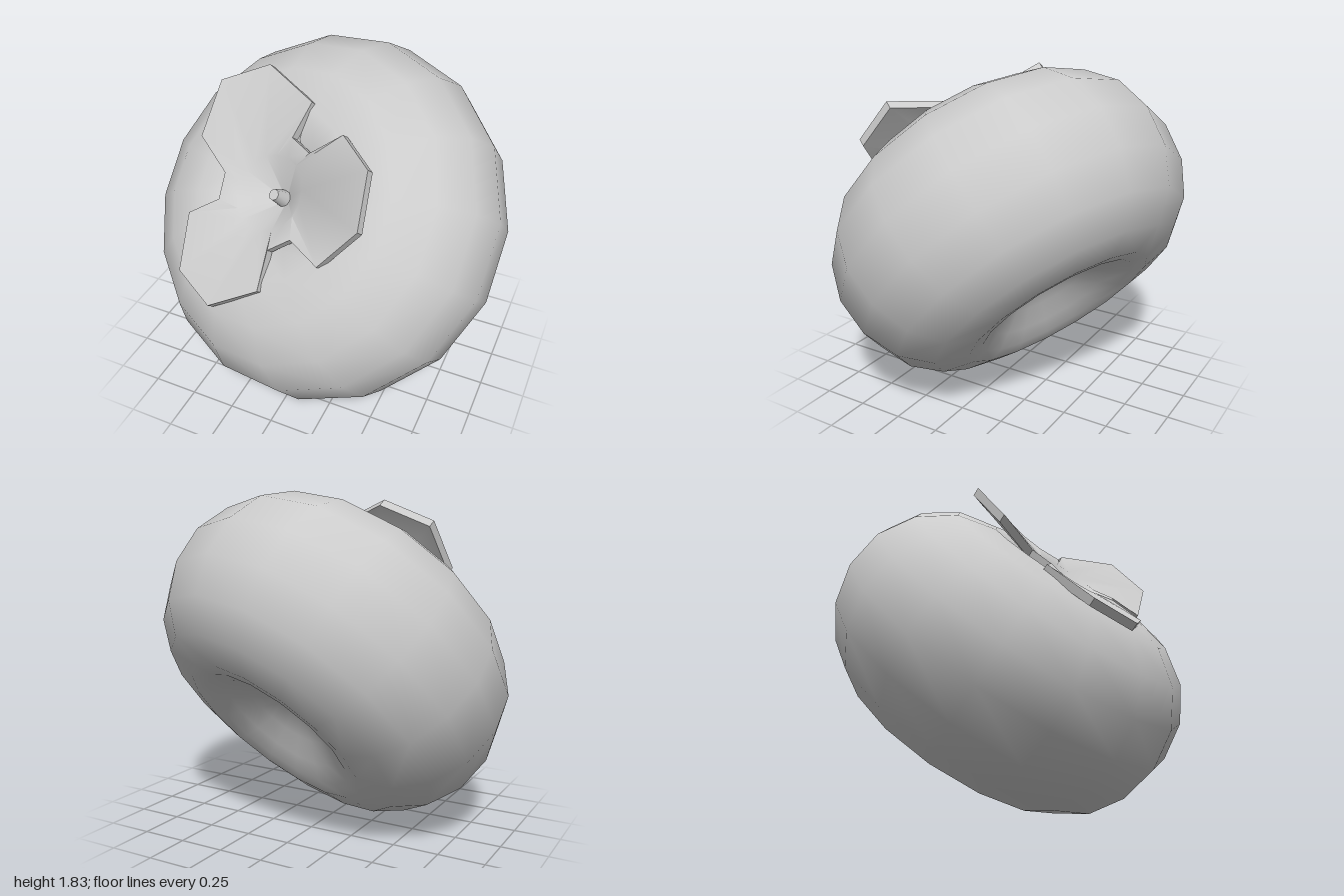
import * as THREE from 'three';
import { toCreasedNormals } from 'three/addons/utils/BufferGeometryUtils.js';

const material = new THREE.MeshStandardMaterial({ color: 0xcccccc });
const rad = THREE.MathUtils.degToRad;

function part(name, geometry) {
  const mesh = new THREE.Mesh(geometry, material);
  mesh.name = name;
  return mesh;
}

// Joins closed rings of points into a skin, each ring to the next
function loft(rings) {
  const positions = [];
  for (let s = 0; s < rings.length - 1; s++) {
    const a = rings[s], b = rings[s + 1], n = a.length;
    for (let i = 0; i < n; i++) {
      const j = (i + 1) % n;
      for (const p of [b[i], a[i], b[j], a[i], a[j], b[j]]) positions.push(p.x, p.y, p.z);
    }
  }
  const geometry = new THREE.BufferGeometry();
  geometry.setAttribute('position', new THREE.Float32BufferAttribute(positions, 3));
  return geometry;
}

// Half of the fruit's profile, from the middle of the dimple out to the equator
function halfProfile(dimple, crown, height) {
  const radius = 1.02;
  const points = dimple.map(([r, y]) => new THREE.Vector2(r, y));
  for (let i = 4; i >= 0; i--) {
    const t = rad(i * 22.5);
    points.push(new THREE.Vector2(crown + (radius - crown) * Math.cos(t), height * Math.sin(t)));
  }
  return points;
}

// Squashed round fruit: broad shallow dimple below, deeper one under the leaf
function createBody() {
  const bottom = halfProfile([[0, 0.37], [0.12, 0.385], [0.24, 0.435], [0.36, 0.505], [0.46, 0.553]], 0.55, 0.57);
  const top = halfProfile([[0, 0.31], [0.1, 0.34], [0.2, 0.44], [0.31, 0.52]], 0.46, 0.552);
  bottom.forEach(p => { p.y = -p.y; });
  const profile = [...bottom, ...top.reverse().slice(1)];
  return part('body', new THREE.LatheGeometry(profile, 16, rad(3)));
}

// Three-lobed leaf with a funnel in the middle; each lobe curls in its own way
function createLeaf() {
  const lobes = [
    { angle: 2, twist: 0, lift: [0, 0.01, 0.135, 0.11, -0.01, 0] },
    { angle: 121.5, twist: 1, lift: [0, 0, 0, 0, 0, 0] },
    { angle: 242, twist: 8, lift: [0, 0.075, 0.105, 0.065, 0, 0] },
  ];
  // angle from lobe centre, radius, angle on the funnel's rim
  const outline = [
    [-46.5, 0.3, -50], [-40, 0.5, -30], [-12.5, 0.65, -10],
    [12.5, 0.65, 10], [40, 0.5, 30], [46.5, 0.3, 50],
  ];
  const thickness = 0.045;
  const polar = (deg, r, y) => new THREE.Vector3(r * Math.cos(rad(deg)), y, r * Math.sin(rad(deg)));
  const centre = [], inner = [], outer = [];
  for (const { angle, twist, lift } of lobes) {
    outline.forEach(([a, r, rimAngle], i) => {
      centre.push(polar(angle + rimAngle, 0.02, 0.4));
      inner.push(polar(angle + rimAngle, 0.2, 0.55));
      outer.push(polar(angle + a + (r > 0.4 ? twist : 0), r, 0.572 + lift[i]));
    });
  }
  const lower = ring => ring.map(p => new THREE.Vector3(p.x, p.y - thickness, p.z));
  const geometry = loft([centre, inner, outer, lower(outer), lower(inner), lower(centre)]);
  return part('leaf', toCreasedNormals(geometry, rad(40)));
}

// Short tapered stalk
function createStem() {
  const geometry = new THREE.CylinderGeometry(0.03, 0.053, 0.13, 8);
  geometry.translate(0, 0.44, 0);
  return part('stem', toCreasedNormals(geometry, rad(50)));
}

export function createModel() {
  const fruit = new THREE.Group();
  fruit.name = 'fruit';
  fruit.add(createBody(), createLeaf(), createStem());

  // Lean the fruit so its top faces forward and up
  const axis = new THREE.Vector3(-0.25, 0.66, 0.71).normalize();
  fruit.quaternion.setFromUnitVectors(new THREE.Vector3(0, 1, 0), axis);
  fruit.position.y = 0.928;

  const model = new THREE.Group();
  model.name = 'model';
  model.add(fruit);
  return model;
}
